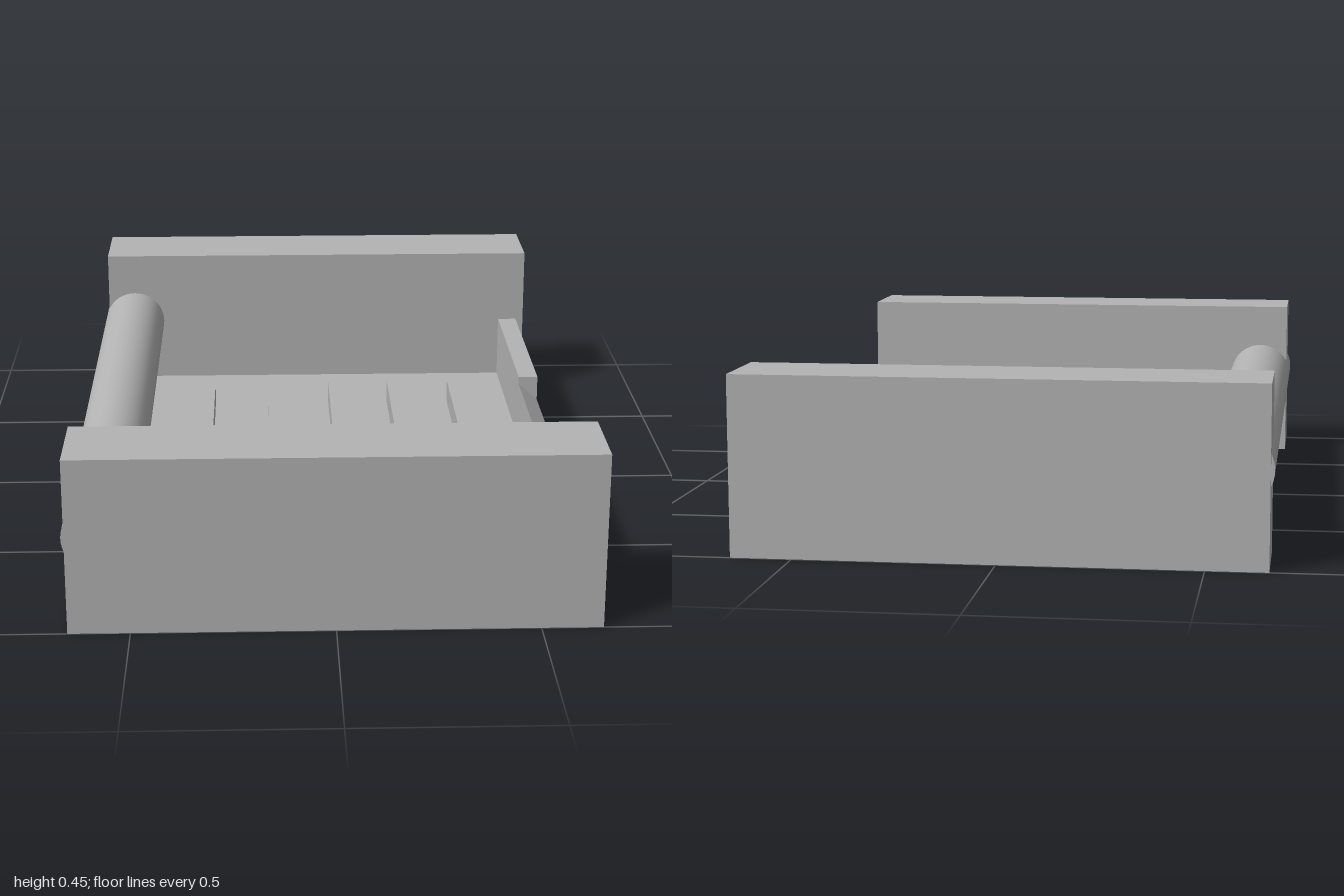
import * as THREE from 'three';

const HALF_SPAN = 0.77; // inner faces of the end blocks

export function createModel() {
  const model = new THREE.Group();
  const grey = new THREE.MeshStandardMaterial({ color: 0xb3b3b3 });
  grey.name = 'grey';

  const add = (name, geometry, x = 0, y = 0, z = 0) => {
    const mesh = new THREE.Mesh(geometry, grey);
    mesh.name = name;
    mesh.position.set(x, y, z);
    model.add(mesh);
    return mesh;
  };
  // Extrudes an x-y outline along z from z0 to z1
  const extrude = (name, points, z0, z1) => {
    const shape = new THREE.Shape(points.map(([x, y]) => new THREE.Vector2(x, y)));
    const geometry = new THREE.ExtrudeGeometry(shape, { depth: z1 - z0, bevelEnabled: false });
    return add(name, geometry, 0, 0, z0);
  };

  // End blocks
  for (const side of [1, -1]) {
    add(side > 0 ? 'frontBlock' : 'backBlock', new THREE.BoxGeometry(1.305, 0.45, 0.23), 0, 0.225, side * 0.885);
  }

  // Tray: floor, low side wall under the roller, and tall side wall with a sloped notch
  const trayProfile = (outerTop, innerTop) => [
    [-0.59, 0], [0.583, 0], [0.63, 0.045], [0.63, outerTop], [0.575, innerTop],
    [0.575, 0.055], [-0.58, 0.055], [-0.58, 0.2], [-0.63, 0.2], [-0.63, 0.045],
  ];
  extrude('trayBack', trayProfile(0.235, 0.235), -HALF_SPAN, -0.2);
  extrude('trayNotch', trayProfile(0.165, 0.215), -0.2, 0.2);
  extrude('trayFront', trayProfile(0.235, 0.235), 0.2, HALF_SPAN);

  // Roller along the low side, with a post at each end
  const roller = add('roller', new THREE.CylinderGeometry(0.09, 0.09, 1.95, 48), -0.572, 0.24, 0);
  roller.rotation.x = Math.PI / 2;
  for (const side of [1, -1]) {
    add('rollerPost', new THREE.BoxGeometry(0.09, 0.15, 0.135), -0.565, 0.125, side * (HALF_SPAN - 0.0675));
  }

  // Floor ribs with pointed back ends
  const rib = new THREE.Shape();
  rib.moveTo(-0.0125, -HALF_SPAN);
  rib.lineTo(0.0125, -HALF_SPAN);
  rib.lineTo(0.0125, 0.51);
  rib.quadraticCurveTo(0.01, 0.523, 0, 0.53);
  rib.quadraticCurveTo(-0.01, 0.523, -0.0125, 0.51);
  const ribGeometry = new THREE.ExtrudeGeometry(rib, { depth: 0.07, bevelEnabled: false, curveSegments: 4 });
  ribGeometry.rotateX(-Math.PI / 2);
  for (const x of [-0.33, -0.145, 0.04, 0.22, 0.405]) add('floorRib', ribGeometry, x, 0.05, 0);

  return model;
}
